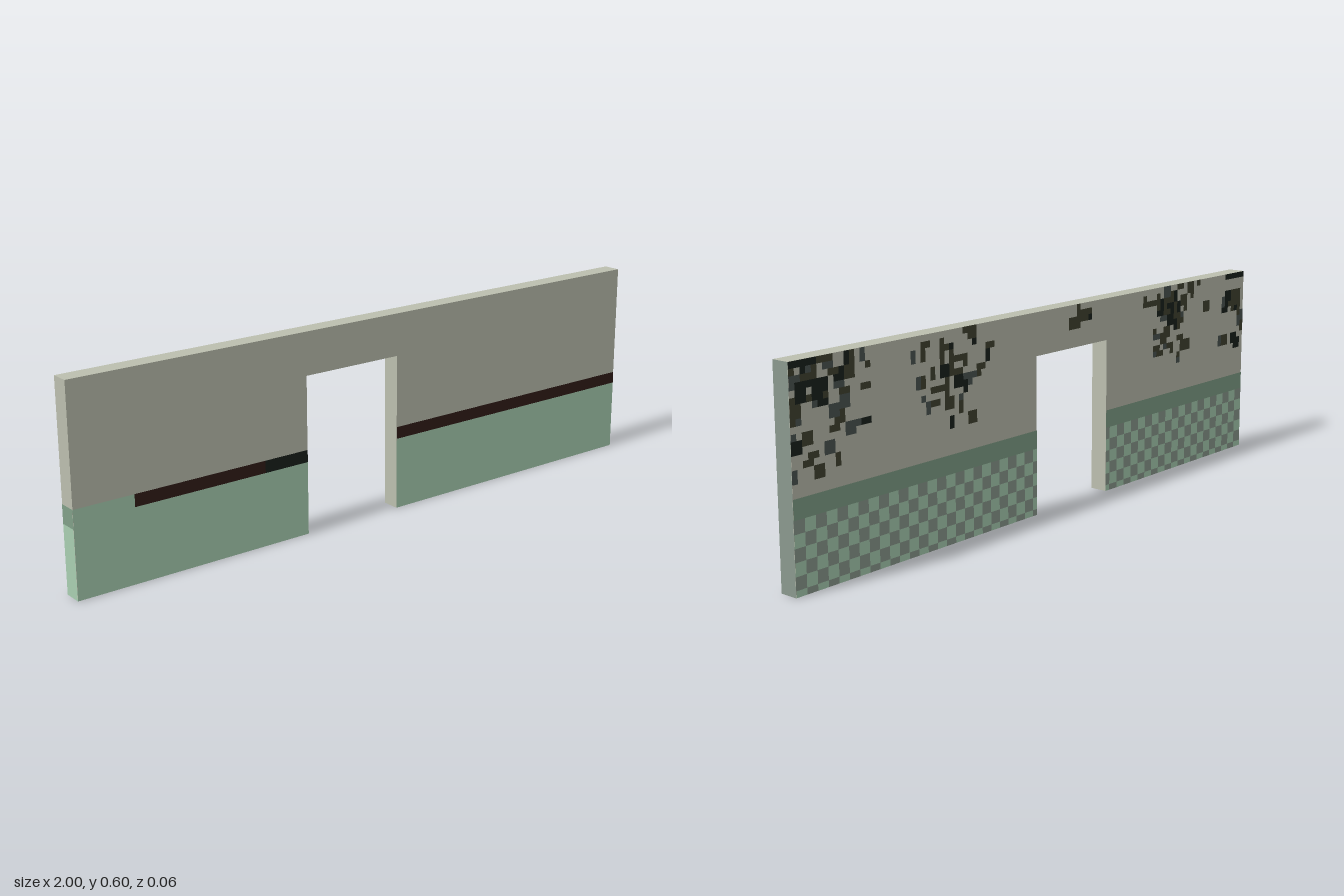
import * as THREE from 'three';
import { mergeGeometries } from 'three/addons/utils/BufferGeometryUtils.js';

// The wall lies on a grid of 110 x 33 x 3 cells.
const W = 110, H = 33, D = 3, U = 2 / W;
const DOOR = { from: 41, to: 59, top: 26 };
const LIFT = 0.0006;
const COLORS = {
  plaster: 0xbcbfaf, green: 0xa9cfb2, darkGreen: 0x81a088, greyGreen: 0x8b998e,
  brown: 0x311d18, black: 0x19201b, olive: 0x40422f, slate: 0x4a5452,
};

// Turns a flat panel (a, b are cell positions on its face) onto one side of the wall.
function panel(side, a0, a1, b0, b1) {
  const g = new THREE.PlaneGeometry((a1 - a0) * U, (b1 - b0) * U);
  const a = (a0 + a1) / 2, b = (b0 + b1) / 2;
  const x = a * U - 1, y = b * U, z = (a - D / 2) * U, half = D * U / 2 + LIFT;
  if (side === 'front') g.translate(x, y, half);
  if (side === 'back') g.rotateY(Math.PI).translate(x, y, -half);
  if (side === 'left') g.rotateY(Math.PI / 2).translate(1 + LIFT, y, z);
  if (side === 'right') g.rotateY(-Math.PI / 2).translate(-1 - LIFT, y, z);
  if (side === 'bottom') g.rotateX(Math.PI / 2).translate(x, -LIFT, (b - D / 2) * U);
  return g;
}

function paint(group, name, color, side, rects) {
  const mesh = new THREE.Mesh(
    mergeGeometries(rects.map((r) => panel(side, ...r))),
    new THREE.MeshStandardMaterial({ color: COLORS[color] }));
  mesh.name = name;
  group.add(mesh);
}

// Plastered wall with a doorway cut into its lower edge
function wallBody() {
  const points = [[0, 0], [DOOR.from, 0], [DOOR.from, DOOR.top], [DOOR.to, DOOR.top],
    [DOOR.to, 0], [W, 0], [W, H], [0, H]];
  const shape = new THREE.Shape(points.map(([x, y]) => new THREE.Vector2(x * U - 1, y * U)));
  const g = new THREE.ExtrudeGeometry(shape, { depth: D * U, bevelEnabled: false });
  g.translate(0, 0, -D * U / 2);
  const mesh = new THREE.Mesh(g, new THREE.MeshStandardMaterial({ color: COLORS.plaster }));
  mesh.name = 'wall';
  return mesh;
}

// Two-cell checks on both sides of the doorway, sorted by colour
function checkerRects() {
  const sets = [[], []];
  for (const [from, to] of [[0, DOOR.from], [DOOR.to, W]]) {
    for (let x = from - (from % 2); x < to; x += 2) {
      for (let y = -1; y < 11; y += 2) {
        sets[(x / 2 + (y + 1) / 2) % 2].push(
          [Math.max(x, from), Math.min(x + 2, to), Math.max(y, 0), y + 2]);
      }
    }
  }
  return sets;
}

// Mould stains: small blots scattered around a few centres, painted into cells
function stainRects() {
  let seed = 11;
  const random = () => (seed = (seed * 16807) % 2147483647) / 2147483647;
  const cells = new Map();
  const stains = [ // centre and radii (cells from the +x end and from the top), blots
    { c: 4, r: 4, rc: 11, rr: 12, n: 95 },
    { c: 31, r: 5, rc: 9, rr: 9, n: 52 },
    { c: 62, r: 2, rc: 6, rr: 3, n: 9 },
    { c: 87, r: 4, rc: 10, rr: 9, n: 75 },
    { c: 106, r: 4, rc: 7, rr: 9, n: 28 },
  ];
  const put = (c, r, color) => {
    if (c >= 0 && c < W && r >= 0 && r < 18) cells.set(c * H + r, color);
  };
  for (const s of stains) {
    for (let i = 0; i < s.n; i++) {
      const angle = random() * Math.PI * 2, dist = random();
      const c = Math.round(s.c + Math.cos(angle) * dist * s.rc);
      const r = Math.round(s.r + Math.sin(angle) * dist * s.rr);
      const pick = random() + dist * 0.2;
      const color = pick < 0.35 ? 'black' : pick < 0.85 ? 'olive' : 'slate';
      const w = random() < 0.5 ? 1 : 2, h = random() < 0.5 ? 1 : 2;
      for (let j = 0; j < w * h; j++) put(c + (j % w), r + Math.floor(j / w), color);
    }
  }
  // Solid black edges at both upper corners
  for (let c = 0; c < 5; c++) put(c, 0, 'black');
  for (let c = 104; c < W; c++) put(c, 0, 'black');
  const rects = { black: [], olive: [], slate: [] };
  for (const [key, color] of cells) {
    const x = W - 1 - Math.floor(key / H), y = H - 1 - (key % H);
    rects[color].push([x, x + 1, y, y + 1]);
  }
  return rects;
}

export function createModel() {
  const group = new THREE.Group();
  group.name = 'wallWithDoorway';
  group.add(wallBody());

  // Front: green lower wall with a dark rail
  paint(group, 'frontLowerWall', 'green', 'front',
    [[0, 10, 0, 14], [10, DOOR.from, 0, 12], [DOOR.to, W, 0, 12]]);
  paint(group, 'frontRail', 'brown', 'front', [[10, 33, 12, 14], [DOOR.to, W, 12, 14]]);
  paint(group, 'frontRailBurnt', 'black', 'front', [[33, DOOR.from, 12, 14]]);

  // Back: dark green border over checked tiles
  paint(group, 'backBorder', 'darkGreen', 'back',
    [[0, DOOR.from, 11, 14], [DOOR.to, W, 11, 14]]);
  const [light, dark] = checkerRects();
  paint(group, 'backLightTiles', 'green', 'back', light);
  paint(group, 'backDarkTiles', 'greyGreen', 'back', dark);
  for (const [color, rects] of Object.entries(stainRects())) {
    paint(group, color + 'Stains', color, 'back', rects);
  }

  // Ends and underside
  paint(group, 'leftEnd', 'greyGreen', 'left', [[0, D, 0, H]]);
  paint(group, 'rightEndLower', 'green', 'right', [[0, D, 0, 11]]);
  paint(group, 'rightEndBorder', 'darkGreen', 'right', [[0, D, 11, 14]]);
  paint(group, 'underside', 'green', 'bottom', [[0, DOOR.from, 0, D], [DOOR.to, W, 0, D]]);
  return group;
}
